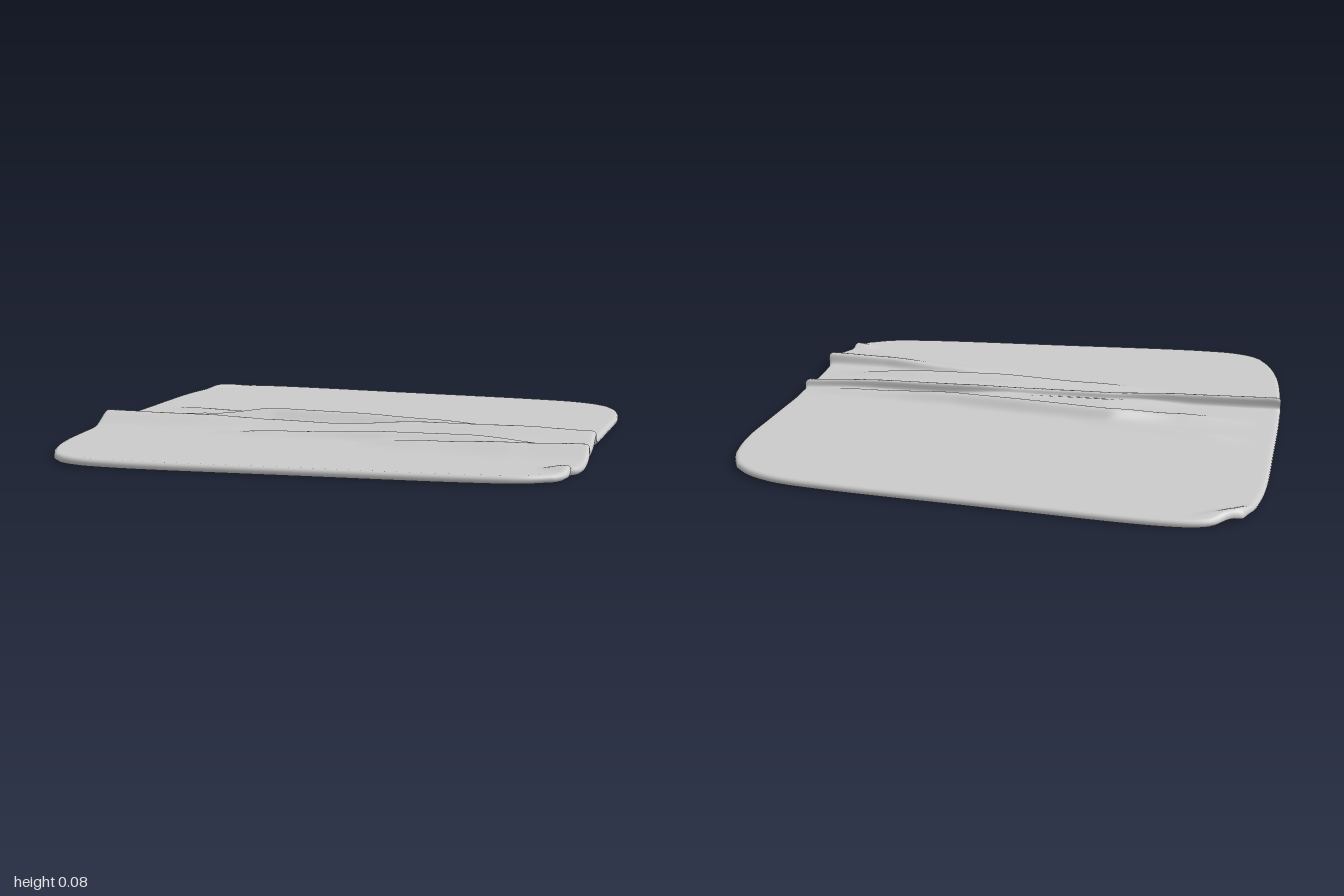
import * as THREE from 'three';

const THICK = 0.03, R = THICK / 2;
const NU = 120, NV = 210, RIM = 6;

// Folds: crest points [x, z, height], back and front widths, lean towards the back
const folds = [
  { p: [[-0.95, 0.03, 0], [-0.6, 0.02, 0.022], [-0.35, -0.03, 0.045], [0, 0, 0.047], [0.3, 0.035, 0.042], [0.7, 0.045, 0.022], [0.97, 0.04, 0.004]], wb: 0.04, wf: 0.045, lean: 0.2 },
  { p: [[-1, 0.235, 0.05], [-0.6, 0.215, 0.046], [-0.3, 0.19, 0.036], [0, 0.185, 0.032], [0.3, 0.15, 0.046], [0.65, 0.135, 0.046], [0.97, 0.105, 0.036]], wb: 0.024, wf: 0.048, lean: 0.7 },
  { p: [[-0.7, 0.19, 0], [-0.3, 0.13, 0.02], [0.1, 0.125, 0.016], [0.4, 0.1, 0]], wb: 0.03, wf: 0.03, lean: 0 },
  { p: [[-0.55, 0.325, 0], [-0.2, 0.315, 0.02], [0.2, 0.305, 0.036], [0.5, 0.285, 0.036], [0.95, 0.265, 0]], wb: 0.05, wf: 0.042, lean: 0 },
  { p: [[0.1, 0.36, 0], [0.4, 0.39, 0.025], [0.7, 0.425, 0.04], [0.97, 0.425, 0.047]], wb: 0.026, wf: 0.08, lean: 0.5 },
  { p: [[-0.92, -0.17, 0], [-0.7, -0.14, 0.012], [-0.45, -0.1, 0.012], [-0.2, -0.07, 0]], wb: 0.05, wf: 0.04, lean: 0 },
  // small crumples at two corners
  { p: [[-0.96, -0.74, 0], [-0.88, -0.81, 0.014], [-0.72, -0.88, 0]], wb: 0.025, wf: 0.025, lean: 0 },
  { p: [[0.82, 0.64, 0], [0.92, 0.66, 0.018], [0.98, 0.62, 0.014]], wb: 0.025, wf: 0.03, lean: 0.4 },
];

function crestAt(points, x) {
  const last = points[points.length - 1];
  if (x <= points[0][0]) return points[0];
  if (x >= last[0]) return last;
  const i = points.findIndex((q) => q[0] > x), a = points[i - 1], b = points[i];
  const t = (x - a[0]) / (b[0] - a[0]), s = t * t * (3 - 2 * t);
  return [x, a[1] + (b[1] - a[1]) * t, a[2] + (b[2] - a[2]) * s];
}

// Lift and backwards shift of the cloth at a floor position
function rumple(x, z) {
  let lift = 0, shift = 0;
  for (const f of folds) {
    const [, zc, h] = crestAt(f.p, x);
    const d = (z - zc) / (z < zc ? f.wb : f.wf);
    if (Math.abs(d) > 4) continue;
    const e = h * Math.exp(-d * d);
    lift += e;
    shift += e * f.lean;
  }
  return [lift, shift];
}

// Outline as four sides meeting in the middle of the rounded corners
const side = (pts) => new THREE.CatmullRomCurve3(
  pts.map(([x, z]) => new THREE.Vector3(x * (1 - R), 0, z * (1 - R))), false, 'centripetal');
const back = side([[-0.91, -0.82], [-0.86, -0.845], [-0.81, -0.89], [-0.75, -0.91], [-0.6, -0.92], [0, -0.89], [0.6, -0.855], [0.78, -0.83], [0.88, -0.79], [0.94, -0.74]]);
const right = side([[0.94, -0.74], [0.98, -0.65], [1, -0.5], [0.99, -0.3], [0.97, 0], [0.965, 0.15], [0.97, 0.4], [0.98, 0.5], [0.965, 0.58], [0.935, 0.64], [0.935, 0.69], [0.9, 0.735]]);
const front = side([[-0.9, 0.845], [-0.86, 0.88], [-0.78, 0.908], [-0.65, 0.915], [-0.5, 0.91], [0, 0.87], [0.6, 0.82], [0.8, 0.785], [0.9, 0.735]]);
const left = side([[-0.91, -0.82], [-0.94, -0.75], [-0.97, -0.6], [-0.99, -0.2], [-1, 0.1], [-1, 0.3], [-0.98, 0.6], [-0.945, 0.75], [-0.9, 0.845]]);

function createRug() {
  const pos = [], index = [];
  const put = (x, y, z) => {
    const [lift, shift] = rumple(x, z);
    pos.push(x, y + lift, z - shift);
  };

  // Floor grid blended between the four sides
  const B = back.getSpacedPoints(NU), F = front.getSpacedPoints(NU);
  const L = left.getSpacedPoints(NV), Rt = right.getSpacedPoints(NV);
  const flat = [];
  for (let j = 0; j <= NV; j++) {
    for (let i = 0; i <= NU; i++) {
      const u = i / NU, v = j / NV;
      const blend = (k) => (1 - v) * B[i][k] + v * F[i][k] + (1 - u) * L[j][k] + u * Rt[j][k]
        - (1 - u) * (1 - v) * B[0][k] - u * (1 - v) * B[NU][k]
        - (1 - u) * v * F[0][k] - u * v * F[NU][k];
      flat.push([blend('x'), blend('z')]);
    }
  }

  // Upper and lower faces
  const W = NU + 1, N = flat.length;
  for (const y of [THICK, 0]) for (const [x, z] of flat) put(x, y, z);
  for (let j = 0; j < NV; j++) {
    for (let i = 0; i < NU; i++) {
      const a = j * W + i, b = a + 1, c = a + W, d = c + 1;
      index.push(a, c, b, b, c, d);
      index.push(a + N, b + N, c + N, b + N, d + N, c + N);
    }
  }

  // Rounded rim around the border
  const loop = [];
  for (let i = 0; i < NU; i++) loop.push(i);
  for (let j = 0; j < NV; j++) loop.push(j * W + NU);
  for (let i = NU; i > 0; i--) loop.push(NV * W + i);
  for (let j = NV; j > 0; j--) loop.push(j * W);
  const M = loop.length, rings = [loop];
  for (let k = 1; k < RIM; k++) {
    const a = (k / RIM) * Math.PI, ring = [];
    loop.forEach((id, n) => {
      const p = flat[loop[(n + M - 2) % M]], q = flat[loop[(n + 2) % M]];
      const tx = q[0] - p[0], tz = q[1] - p[1], len = Math.hypot(tx, tz) || 1;
      const out = R * Math.sin(a);
      ring.push(pos.length / 3);
      put(flat[id][0] + (tz / len) * out, R + R * Math.cos(a), flat[id][1] - (tx / len) * out);
    });
    rings.push(ring);
  }
  rings.push(loop.map((id) => id + N));
  for (let k = 0; k < RIM; k++) {
    for (let n = 0; n < M; n++) {
      const m = (n + 1) % M;
      const a = rings[k][n], b = rings[k][m], c = rings[k + 1][n], d = rings[k + 1][m];
      index.push(a, b, c, b, d, c);
    }
  }

  const geometry = new THREE.BufferGeometry();
  geometry.setAttribute('position', new THREE.Float32BufferAttribute(pos, 3));
  geometry.setIndex(index);
  geometry.computeVertexNormals();
  return geometry;
}

export function createModel() {
  const group = new THREE.Group();
  group.name = 'rumpledRug';
  const rug = new THREE.Mesh(createRug(), new THREE.MeshStandardMaterial({ color: 0xcccccc }));
  rug.name = 'rug';
  group.add(rug);
  return group;
}
